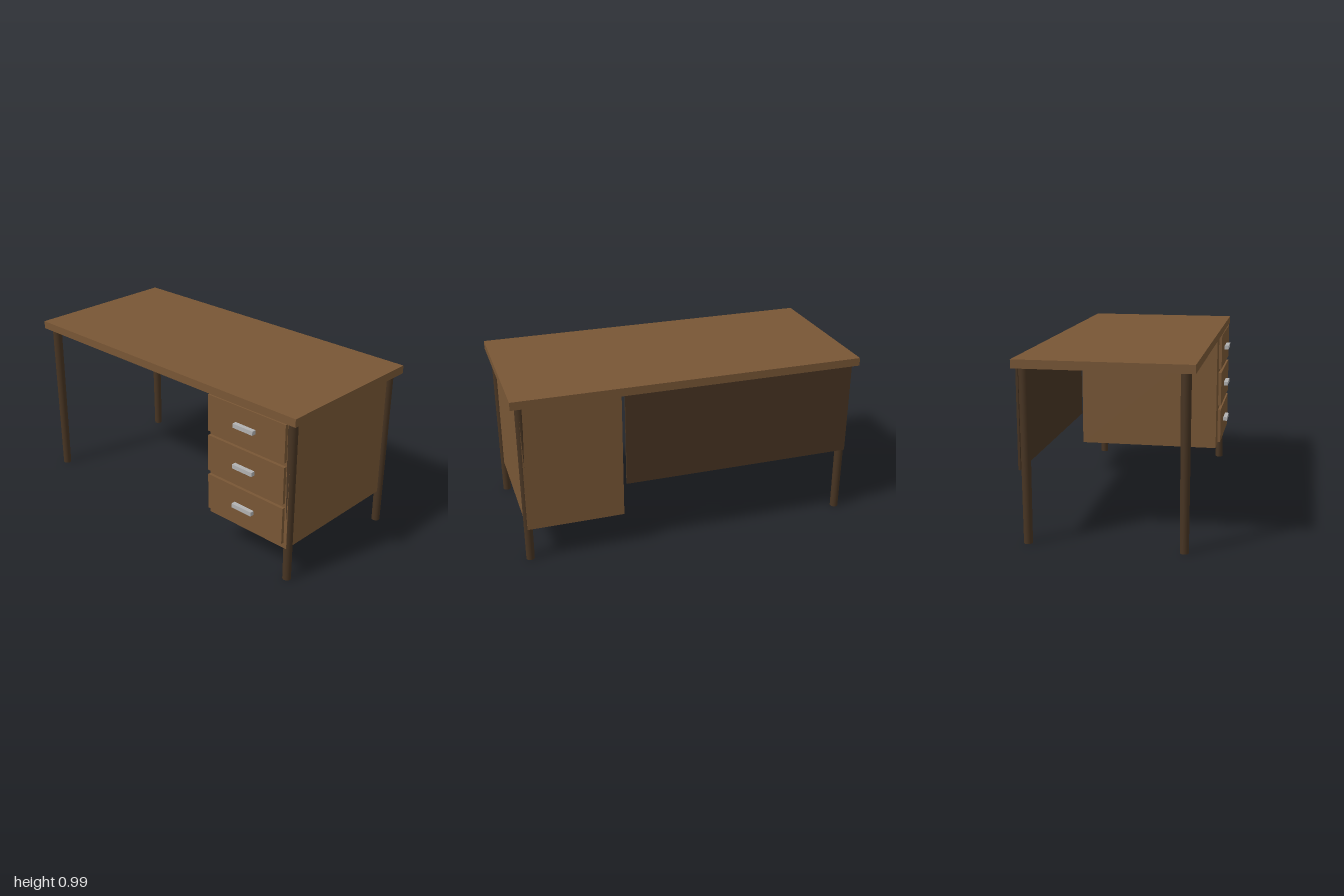
import * as THREE from 'three';

export function createModel() {
  const desk = new THREE.Group();
  desk.name = 'desk';

  const material = (name, color) => {
    const m = new THREE.MeshStandardMaterial({ color });
    m.name = name;
    return m;
  };
  const wood = material('wood', 0x785635);
  const darkWood = material('darkWood', 0x473422);
  const metal = material('metal', 0xb2b2b2);

  // Box given by its limits along each axis
  const box = (name, mat, [x0, x1], [y0, y1], [z0, z1]) => {
    const mesh = new THREE.Mesh(new THREE.BoxGeometry(x1 - x0, y1 - y0, z1 - z0), mat);
    mesh.position.set((x0 + x1) / 2, (y0 + y1) / 2, (z0 + z1) / 2);
    mesh.name = name;
    desk.add(mesh);
  };

  box('desktop', wood, [-1, 1], [0.941, 0.987], [-0.48, 0.455]);
  box('drawerCabinet', wood, [0.4, 0.952], [0.2, 0.941], [-0.453, 0.427]);
  box('modestyPanel', darkWood, [-0.96, 0.385], [0.4, 0.935], [-0.466, -0.454]);

  // Three drawer fronts, each with a bar handle
  for (let i = 0; i < 3; i++) {
    const y = 0.348 + i * 0.24;
    box('drawerFront', wood, [0.41, 0.94], [y - 0.107, y + 0.107], [0.437, 0.455]);
    box('drawerHandle', metal, [0.608, 0.745], [y - 0.012, y + 0.012], [0.455, 0.48]);
  }

  // Round legs, slightly narrower at the foot
  const legGeometry = new THREE.CylinderGeometry(0.0275, 0.0235, 0.941, 24);
  for (const x of [-0.946, 0.944]) {
    for (const z of [-0.427, 0.402]) {
      const leg = new THREE.Mesh(legGeometry, darkWood);
      leg.position.set(x, 0.4705, z);
      leg.name = 'leg';
      desk.add(leg);
    }
  }

  return desk;
}
